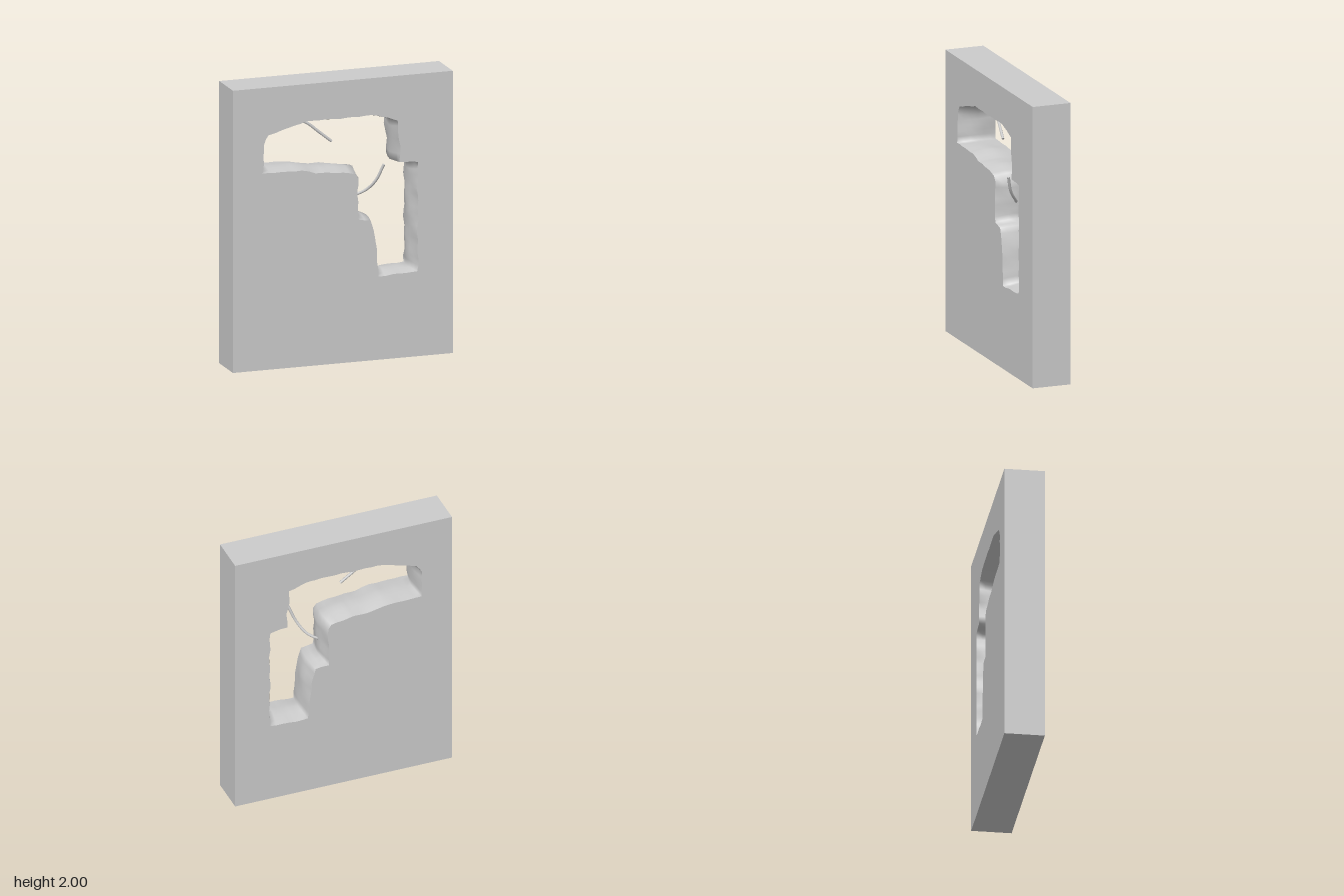
import * as THREE from 'three';

const W = 1.6, H = 2, D = 0.28;

// Corner pairs of the breach, clockwise: [x, y] at the wall faces, [x, y] at mid-depth
const CORNERS = [
  [-0.58, 1.395, -0.55, 1.41], [-0.575, 1.6, -0.55, 1.59], [-0.54, 1.66, -0.52, 1.645],
  [-0.35, 1.715, -0.34, 1.705], [-0.25, 1.735, -0.24, 1.71], [0.25, 1.735, 0.25, 1.71],
  [0.4, 1.685, 0.385, 1.66], [0.4, 1.6, 0.385, 1.58], [0.42, 1.5, 0.385, 1.48],
  [0.415, 1.39, 0.385, 1.375], [0.545, 1.375, 0.505, 1.35], [0.545, 0.6, 0.505, 0.62],
  [0.26, 0.592, 0.285, 0.62], [0.235, 0.88, 0.26, 0.87], [0.205, 0.99, 0.222, 1.0],
  [0.11, 1.0, 0.145, 1.03], [0.112, 1.3, 0.145, 1.28], [0.09, 1.33, 0.122, 1.355],
  [-0.04, 1.355, -0.03, 1.38], [-0.2, 1.362, -0.17, 1.385], [-0.3, 1.39, -0.3, 1.41],
];

// Subdivide the outline evenly between corners
function subdivide(corners, step) {
  const out = [];
  corners.forEach((a, i) => {
    const b = corners[(i + 1) % corners.length];
    const n = Math.max(1, Math.round(Math.hypot(b[0] - a[0], b[1] - a[1]) / step));
    for (let k = 0; k < n; k++) out.push(a.map((v, j) => v + (b[j] - v) * k / n));
  });
  return out;
}

// One ragged ring of the breach at depth t (1 = front face, 0 = middle, -1 = back face)
function ring(outline, t) {
  return outline.map(([ox, oy, ix, iy], i) => {
    const wave = 0.6 * Math.sin(i * 1.9 + t * 2.3) + 0.4 * Math.sin(i * 0.83 - t * 4.1);
    const k = Math.pow(Math.abs(t), 1.3) * (1 + 0.2 * wave) + 0.12 * (1 - Math.abs(t)) * (1 + wave);
    return new THREE.Vector2(ix + (ox - ix) * k, iy + (oy - iy) * k);
  });
}

// Flat wall face pierced by the breach
function pierced(points, mirror) {
  const s = new THREE.Shape();
  s.moveTo(-W / 2, 0).lineTo(W / 2, 0).lineTo(W / 2, H).lineTo(-W / 2, H).closePath();
  s.holes.push(new THREE.Path(points.map(p => new THREE.Vector2(p.x * mirror, p.y))));
  return new THREE.ShapeGeometry(s);
}

// Rough inner surface joining the rings from front to back
function breachGeometry(rings, depths) {
  const n = rings[0].length, pos = [], idx = [];
  rings.forEach((r, j) => r.forEach(p => pos.push(p.x, p.y, depths[j] * D / 2)));
  for (let j = 0; j < rings.length - 1; j++) {
    for (let i = 0; i < n; i++) {
      const a = j * n + i, c = j * n + (i + 1) % n;
      idx.push(a, a + n, c, c, a + n, c + n);
    }
  }
  const g = new THREE.BufferGeometry();
  g.setAttribute('position', new THREE.Float32BufferAttribute(pos, 3));
  g.setIndex(idx);
  g.computeVertexNormals();
  return g;
}

// Bent reinforcing bar: a tube with capped ends
function bar(points, radius, material) {
  const group = new THREE.Group();
  const curve = new THREE.CatmullRomCurve3(points.map(p => new THREE.Vector3(...p)));
  group.add(new THREE.Mesh(new THREE.TubeGeometry(curve, 20, radius, 8), material));
  for (const t of [0, 1]) {
    const cap = new THREE.Mesh(new THREE.CircleGeometry(radius, 8), material);
    const dir = curve.getTangent(t).multiplyScalar(t ? 1 : -1);
    cap.position.copy(curve.getPoint(t));
    cap.quaternion.setFromUnitVectors(new THREE.Vector3(0, 0, 1), dir);
    group.add(cap);
  }
  return group;
}

export function createModel() {
  const model = new THREE.Group();
  const mat = new THREE.MeshStandardMaterial({ color: 0xcccccc });
  const add = (name, object) => {
    object.name = name;
    model.add(object);
    return object;
  };

  const outline = subdivide(CORNERS, 0.045);
  const depths = [1, 0.7, 0.35, 0, -0.35, -0.7, -1];
  const rings = depths.map(t => ring(outline, t));

  // Outer edges of the slab: a box without its front and back
  const sides = new THREE.BoxGeometry(W, H, D);
  sides.setIndex(Array.from(sides.index.array.slice(0, 24)));
  sides.clearGroups();
  add('wallEdges', new THREE.Mesh(sides, mat)).position.y = H / 2;

  // Pierced front and back faces
  add('wallFront', new THREE.Mesh(pierced(rings[0], 1), mat)).position.z = D / 2;
  const back = add('wallBack', new THREE.Mesh(pierced(rings[rings.length - 1], -1), mat));
  back.position.z = -D / 2;
  back.rotation.y = Math.PI;

  add('breachSurface', new THREE.Mesh(breachGeometry(rings, depths), mat));

  // Bent bars sticking out of the broken edge
  add('upperBar', bar([[-0.36, 1.715, -0.01], [-0.28, 1.712, -0.005], [-0.21, 1.685, 0],
    [-0.13, 1.62, 0.01], [-0.04, 1.547, 0.02]], 0.01, mat));
  add('lowerBar', bar([[0.1, 1.135, -0.01], [0.15, 1.15, 0], [0.21, 1.187, 0.035],
    [0.26, 1.26, 0.085], [0.305, 1.375, 0.12]], 0.01, mat));

  return model;
}
